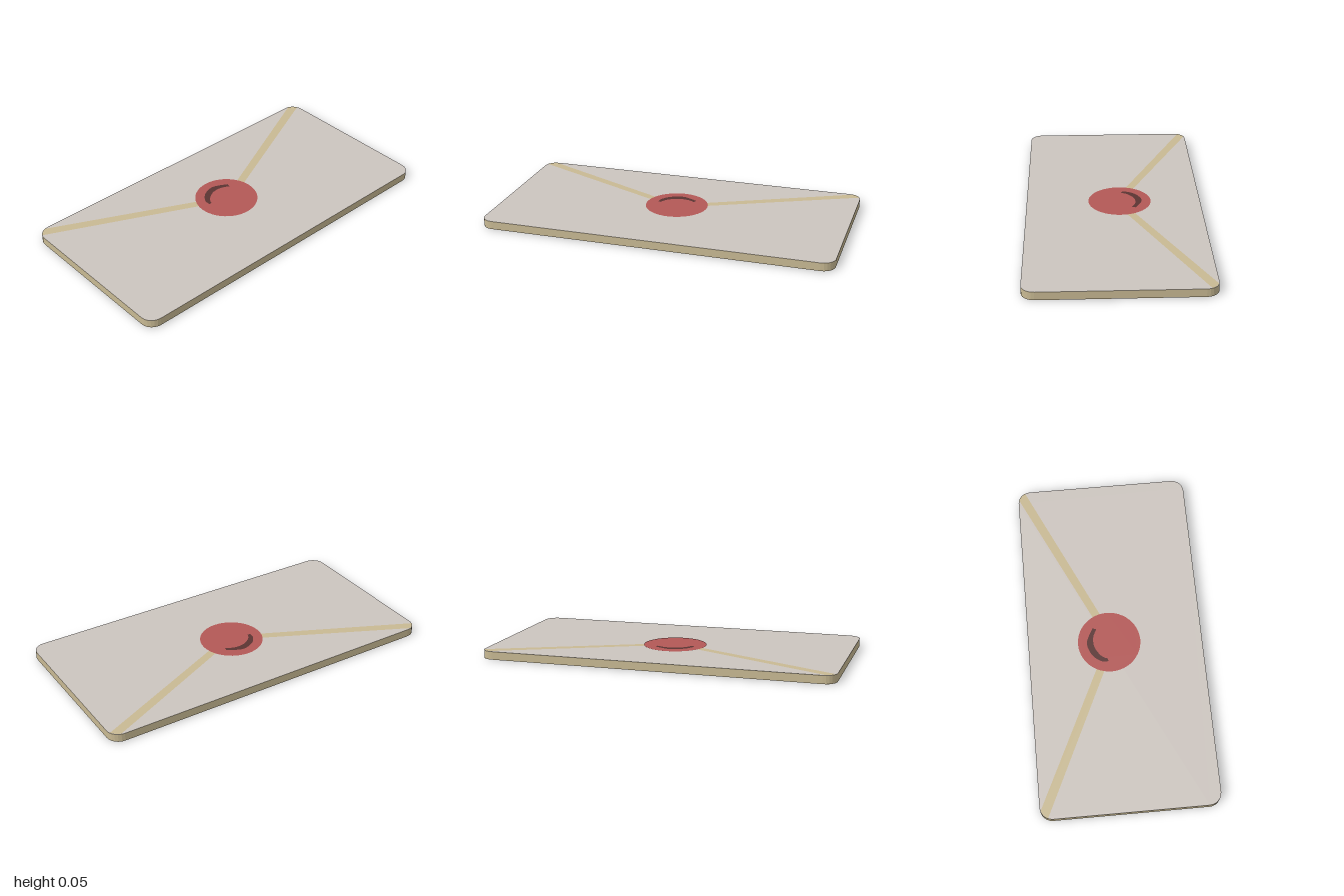
import * as THREE from 'three';

const HEIGHT = 0.052;
const INSET = 0.003; // room for the printed layers above and below the body

const mat = (name, color, side = THREE.FrontSide) => {
  const m = new THREE.MeshStandardMaterial({ color, side });
  m.name = name;
  return m;
};

// Rounded rectangle outline, centred on the origin
function roundedRect(w, d, r) {
  const x = w / 2 - r, y = d / 2 - r, q = Math.PI / 2;
  const s = new THREE.Shape();
  s.absarc(x, y, r, 0, q);
  s.absarc(-x, y, r, q, 2 * q);
  s.absarc(-x, -y, r, 2 * q, 3 * q);
  s.absarc(x, -y, r, 3 * q, 4 * q);
  s.closePath();
  return s;
}

export function createModel() {
  const paper = mat('paper', 0xccc5bf);
  const gold = mat('gold edge', 0xc8b993);
  const trim = mat('gold trim', 0xc8b993, THREE.DoubleSide);
  const wax = mat('red wax', 0xb35856, THREE.DoubleSide);
  const shade = mat('dark wax', 0x5a3432, THREE.DoubleSide);

  const envelope = new THREE.Group();
  envelope.name = 'envelope';

  // Body: paper faces with a gold rim and three-sided corners
  const bodyGeo = new THREE.ExtrudeGeometry(roundedRect(2, 1, 0.07), {
    depth: HEIGHT - 2 * INSET, bevelEnabled: false, curveSegments: 3,
  });
  bodyGeo.rotateX(-Math.PI / 2).translate(0, INSET, 0);
  const body = new THREE.Mesh(bodyGeo, [paper, gold]);
  body.name = 'body';
  envelope.add(body);

  // Flat printed shape on both faces; layer 1 to 3 counts outwards from the paper
  function printed(name, shape, material, layer) {
    const geo = new THREE.ShapeGeometry(shape, 24).rotateX(-Math.PI / 2);
    const lift = INSET * layer / 3;
    [['Top', HEIGHT - INSET + lift], ['Bottom', INSET - lift]].forEach(([face, y]) => {
      const mesh = new THREE.Mesh(geo, material);
      mesh.name = name + face;
      mesh.position.y = y;
      envelope.add(mesh);
    });
  }

  // Flap edges: strips running from the back corners to the seal (shape y is -z)
  const strip = [[0.993, 0.457], [0.99, 0.465], [0.965, 0.489], [0.947, 0.494], [0.14, 0.11], [0.14, 0.06]];
  for (const [name, s] of [['leftFlapEdge', 1], ['rightFlapEdge', -1]]) {
    printed(name, new THREE.Shape(strip.map(([x, y]) => new THREE.Vector2(s * x, y))), trim, 1);
  }

  // Wax seal
  const disc = new THREE.Shape();
  disc.absarc(-0.005, 0.035, 0.18, 0, Math.PI * 2);
  printed('seal', disc, wax, 2);

  // Crescent mark on the seal
  const crescent = new THREE.Shape();
  crescent.moveTo(-0.122, 0.05);
  crescent.splineThru([[-0.118, 0.09], [-0.075, 0.14], [0, 0.163], [0.085, 0.125]].map((p) => new THREE.Vector2(...p)));
  crescent.lineTo(0.08, 0.102);
  crescent.splineThru([[0.03, 0.124], [-0.03, 0.122], [-0.085, 0.088], [-0.107, 0.05]].map((p) => new THREE.Vector2(...p)));
  crescent.closePath();
  printed('sealCrescent', crescent, shade, 3);

  return envelope;
}
